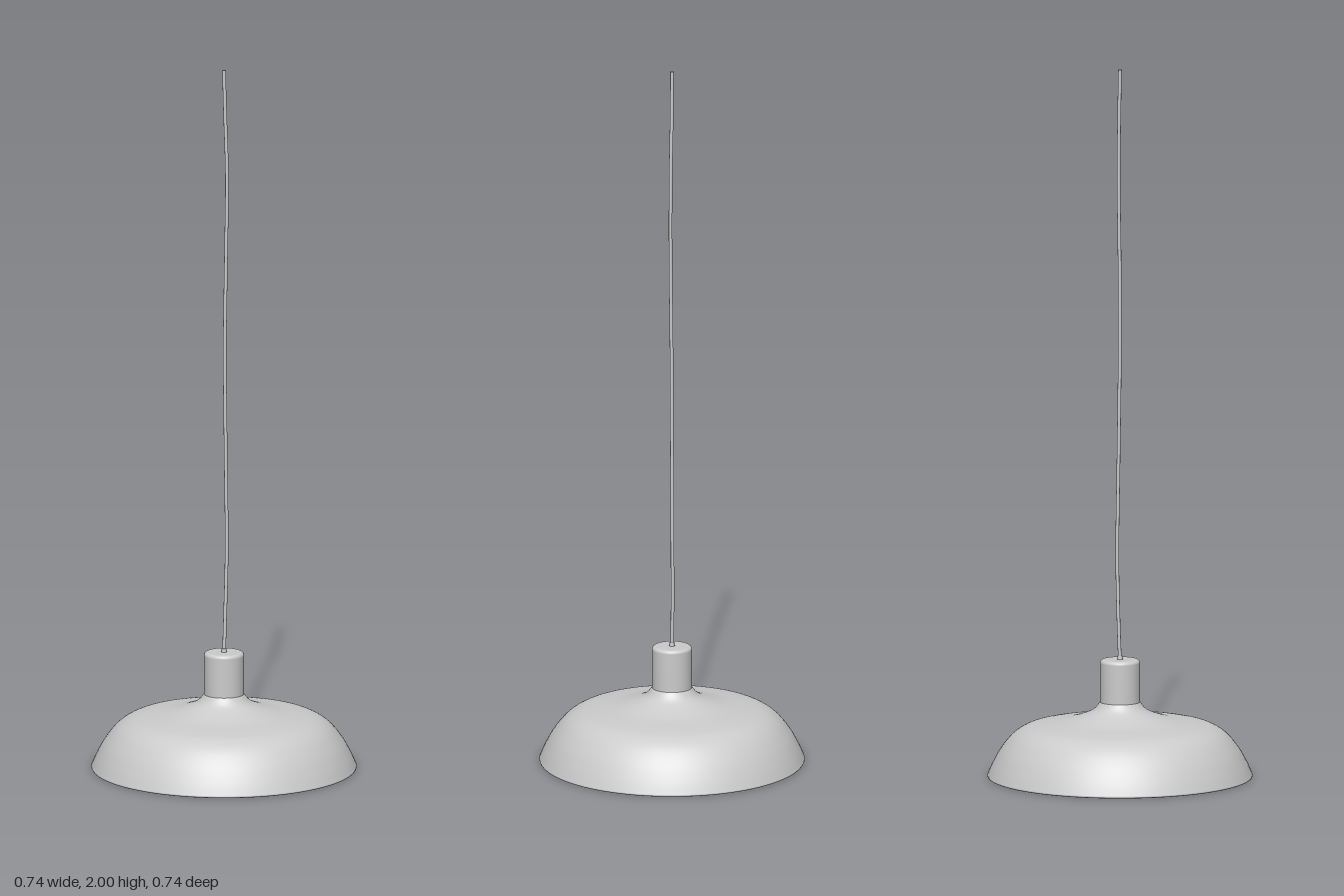
import * as THREE from 'three';

const v2 = (pts) => pts.map(([x, y]) => new THREE.Vector2(x, y));
const smooth = (pts, n) => new THREE.SplineCurve(v2(pts)).getPoints(n);

export function createModel() {
  const model = new THREE.Group();
  const grey = new THREE.MeshStandardMaterial({ color: 0xcccccc });
  const thin = new THREE.MeshStandardMaterial({ color: 0xcccccc, side: THREE.DoubleSide });
  const add = (name, geometry, material = grey) => {
    const mesh = new THREE.Mesh(geometry, material);
    mesh.name = name;
    model.add(mesh);
    return mesh;
  };

  // Spun shade: flared bowl sweeping up into the neck, with a thin wall
  const outer = [
    [0.37, 0.006], [0.355, 0.04], [0.332, 0.08], [0.3, 0.118], [0.265, 0.14],
    [0.225, 0.15], [0.16, 0.16], [0.11, 0.174], [0.075, 0.19], [0.056, 0.212],
  ];
  const inner = outer.map(([r, y]) => [r - 0.004, y - 0.005]);
  add('shade', new THREE.LatheGeometry(smooth(outer, 48), 96), thin);
  add('shadeLining', new THREE.LatheGeometry(smooth(inner, 48), 96), thin);

  // Rolled rim
  const rim = add('rim', new THREE.TorusGeometry(0.366, 0.004, 8, 96));
  rim.rotation.x = Math.PI / 2;
  rim.position.y = 0.004;

  // Neck cap with a softened top edge
  const cap = v2([[0.056, 0.205], [0.056, 0.322]]);
  for (let i = 1; i <= 6; i++) {
    const a = (i / 6) * Math.PI / 2;
    cap.push(new THREE.Vector2(0.046 + 0.01 * Math.cos(a), 0.322 + 0.01 * Math.sin(a)));
  }
  cap.push(new THREE.Vector2(0, 0.332));
  add('neck', new THREE.LatheGeometry(cap, 48), thin);

  // Lamp holder inside the neck
  const socket = add('socket', new THREE.CylinderGeometry(0.036, 0.036, 0.1, 32));
  socket.position.y = 0.26;

  // Globe bulb tapering into its base
  const bulb = [];
  for (let i = 0; i <= 20; i++) {
    const a = -Math.PI / 2 + (i / 20) * 2.45;
    bulb.push(new THREE.Vector2(Math.max(0, 0.07 * Math.cos(a)), 0.14 + 0.07 * Math.sin(a)));
  }
  bulb.push(...v2([[0.036, 0.205], [0.03, 0.22], [0.028, 0.24]]));
  add('bulb', new THREE.LatheGeometry(bulb, 40));

  // Slightly wavy hanging cord
  const path = new THREE.CatmullRomCurve3([
    [0, 0.325, 0], [0.003, 0.42, -0.002], [0.008, 0.62, -0.003], [0.005, 0.9, -0.001],
    [0.002, 1.2, 0.001], [0.005, 1.45, 0.003], [0.008, 1.7, 0.002], [0.003, 1.88, 0], [0, 2, 0],
  ].map((p) => new THREE.Vector3(...p)));
  add('cord', new THREE.TubeGeometry(path, 80, 0.005, 10), thin);

  // Cord end and cord grip
  const end = add('cordEnd', new THREE.CircleGeometry(0.005, 10), thin);
  end.rotation.x = -Math.PI / 2;
  end.position.y = 2;
  const grip = add('cordGrip', new THREE.CylinderGeometry(0.007, 0.008, 0.012, 20));
  grip.position.y = 0.336;

  return model;
}
